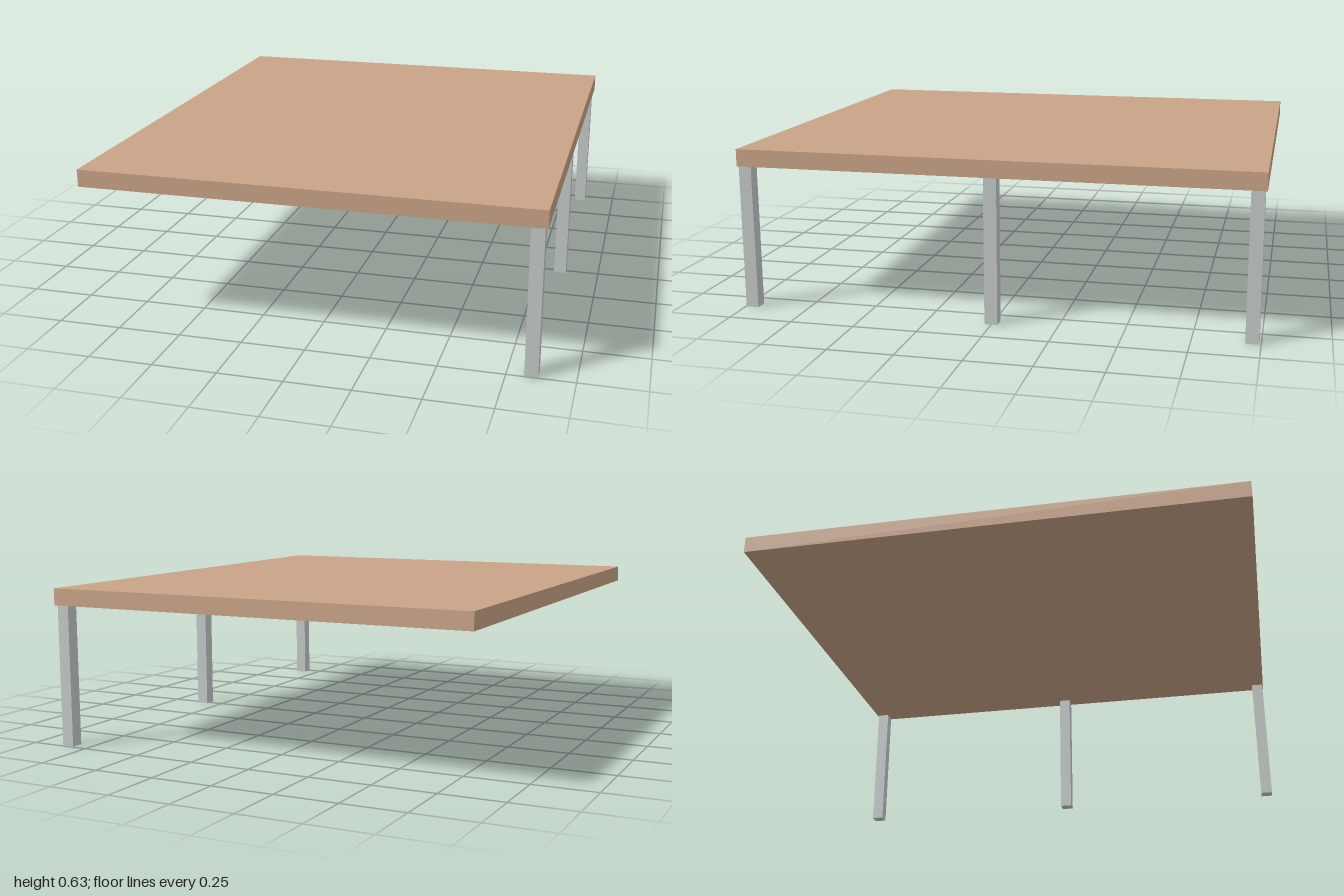
import * as THREE from 'three';

export function createModel() {
  const model = new THREE.Group();
  model.name = 'canopy';
  const wood = new THREE.MeshStandardMaterial({ color: 0xc9a387 });
  wood.name = 'wood';
  const metal = new THREE.MeshStandardMaterial({ color: 0xc4c9c8 });
  metal.name = 'metal';

  const legHeight = 0.565;
  const slabHeight = 0.067;

  function addBox(name, size, position, material) {
    const mesh = new THREE.Mesh(new THREE.BoxGeometry(...size), material);
    mesh.name = name;
    mesh.position.set(...position);
    model.add(mesh);
  }

  // Flat slab
  addBox('slab', [1.75, slabHeight, 2], [0, legHeight + slabHeight / 2, 0], wood);

  // Three square legs along the left edge
  const legs = { frontLeg: 0.972, middleLeg: 0.001, backLeg: -0.968 };
  for (const [name, z] of Object.entries(legs)) {
    addBox(name, [0.05, legHeight, 0.05], [0.84, legHeight / 2, z], metal);
  }

  return model;
}
